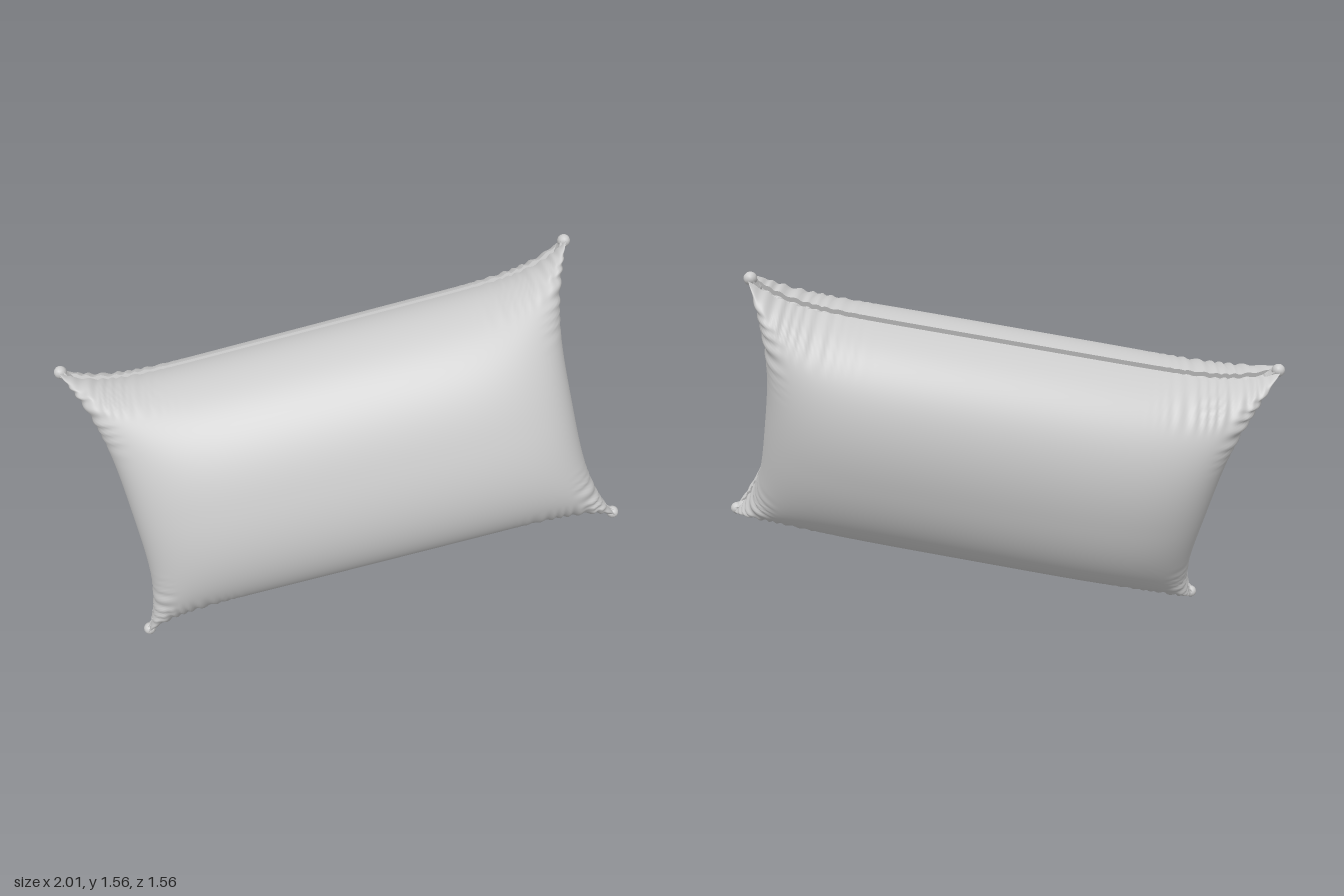
import * as THREE from 'three';

const HALF_LENGTH = 1.035, HALF_HEIGHT = 0.605, THICK = 0.382, BAND = 0.02;
const COLS = 180, ROWS = 110;
const material = new THREE.MeshStandardMaterial({ color: 0xcccccc, side: THREE.DoubleSide });

const smooth = (a, b, x) => THREE.MathUtils.smoothstep(x, a, b);
const dome = (x, p, q) => Math.pow(Math.max(0, 1 - Math.pow(Math.abs(x), p)), 1 / q);

// Samples crowd toward the seams, where the cloth curves most
const spread = (i, n) => Math.sin((i / n - 0.5) * Math.PI);

// Point on the pillow: s runs along the length, t along the height
function pillowPoint(s, t, side) {
  const as = Math.abs(s), at = Math.abs(t);
  // Edges pull inward between the four corners
  let u = s * (HALF_LENGTH - 0.115 * (1 - Math.pow(at, 3.2)));
  let v = t * (HALF_HEIGHT - 0.093 * (1 - Math.pow(as, 8)));
  // Short gathers run across each seam near the corners
  const gatherLong = smooth(0.5, 0.8, as) * smooth(0.75, 0.96, at) * (1 - smooth(0.9, 1, as));
  const gatherShort = smooth(0.4, 0.75, at) * smooth(0.85, 0.97, as) * (1 - smooth(0.88, 1, at));
  const foldU = Math.sin(u * 140 + 1.6 * Math.sin(u * 31 + side));
  const foldV = Math.sin(v * 140 + 1.6 * Math.sin(v * 37 - side));
  v += Math.sign(t) * 0.004 * gatherLong * foldU;
  u += Math.sign(s) * 0.004 * gatherShort * foldV;
  const fold = 1 + 0.03 * (gatherLong * foldU + gatherShort * foldV);
  const n = BAND + THICK * dome(s, 5, 2.9) * dome(t, 2.25, 2.1) * fold;
  // The whole pillow is twisted slightly between opposite corners
  return [u, v, side * n - 0.02 * s * t];
}

function gridGeometry(cols, rows, point, flip) {
  const positions = [], index = [];
  for (let j = 0; j <= rows; j++)
    for (let i = 0; i <= cols; i++) positions.push(...point(i, j));
  for (let j = 0; j < rows; j++)
    for (let i = 0; i < cols; i++) {
      const a = j * (cols + 1) + i, b = a + 1, c = a + cols + 1, d = c + 1;
      if (flip) index.push(a, d, b, a, c, d);
      else index.push(a, b, d, a, d, c);
    }
  const g = new THREE.BufferGeometry();
  g.setAttribute('position', new THREE.Float32BufferAttribute(positions, 3));
  g.setIndex(index);
  g.computeVertexNormals();
  return g;
}

function addMesh(group, name, geometry) {
  const mesh = new THREE.Mesh(geometry, material);
  mesh.name = name;
  group.add(mesh);
  return mesh;
}

// Row 0 and 3 of a seam are the panel edges, rows 1 and 2 the sunken strip
function seamPoint(s, t, row) {
  const p = pillowPoint(s, t, row < 2 ? 1 : -1);
  if (row === 1 || row === 2) {
    p[0] -= Math.abs(s) === 1 ? 0.02 * s : 0;
    p[1] -= Math.abs(t) === 1 ? 0.02 * t : 0;
  }
  return p;
}

export function createModel() {
  const pillow = new THREE.Group();
  pillow.name = 'pillow';

  // Two inflated cloth panels
  for (const side of [1, -1]) {
    addMesh(pillow, side > 0 ? 'frontPanel' : 'backPanel',
      gridGeometry(COLS, ROWS, (i, j) => pillowPoint(spread(i, COLS), spread(j, ROWS), side), side < 0));
  }

  // Sunken seam joining the panels on all four edges, with sharp creases
  const edges = [
    ['bottomSeam', COLS, (k) => [spread(k, COLS), -1], true],
    ['topSeam', COLS, (k) => [spread(k, COLS), 1], false],
    ['leftSeam', ROWS, (k) => [1, spread(k, ROWS)], true],
    ['rightSeam', ROWS, (k) => [-1, spread(k, ROWS)], false],
  ];
  for (const [name, count, at, flip] of edges) {
    const seam = gridGeometry(count, 3, (k, row) => seamPoint(...at(k), row), flip).toNonIndexed();
    seam.computeVertexNormals();
    addMesh(pillow, name, seam);
  }

  // Bunched cloth at the corners
  for (const s of [-1, 1]) for (const t of [-1, 1]) {
    const bunch = addMesh(pillow, 'cornerBunch', new THREE.SphereGeometry(0.026, 12, 8));
    bunch.position.set(s * (HALF_LENGTH - 0.005), t * (HALF_HEIGHT - 0.005), -0.02 * s * t);
  }

  // Tilt the pillow so that it balances on one corner
  const along = new THREE.Vector3(0.749, 0.188, -0.635).normalize();
  const up = new THREE.Vector3(-0.34, 0.931, -0.131);
  const out = new THREE.Vector3().crossVectors(along, up).normalize();
  up.crossVectors(out, along);
  pillow.quaternion.setFromRotationMatrix(new THREE.Matrix4().makeBasis(along, up, out));

  // Centre it and rest its lowest corner on the ground
  const model = new THREE.Group();
  model.name = 'tiltedPillow';
  model.add(pillow);
  model.updateMatrixWorld(true);
  const box = new THREE.Box3().setFromObject(pillow, true);
  const centre = box.getCenter(new THREE.Vector3());
  pillow.position.set(-centre.x, -box.min.y, -centre.z);
  return model;
}
